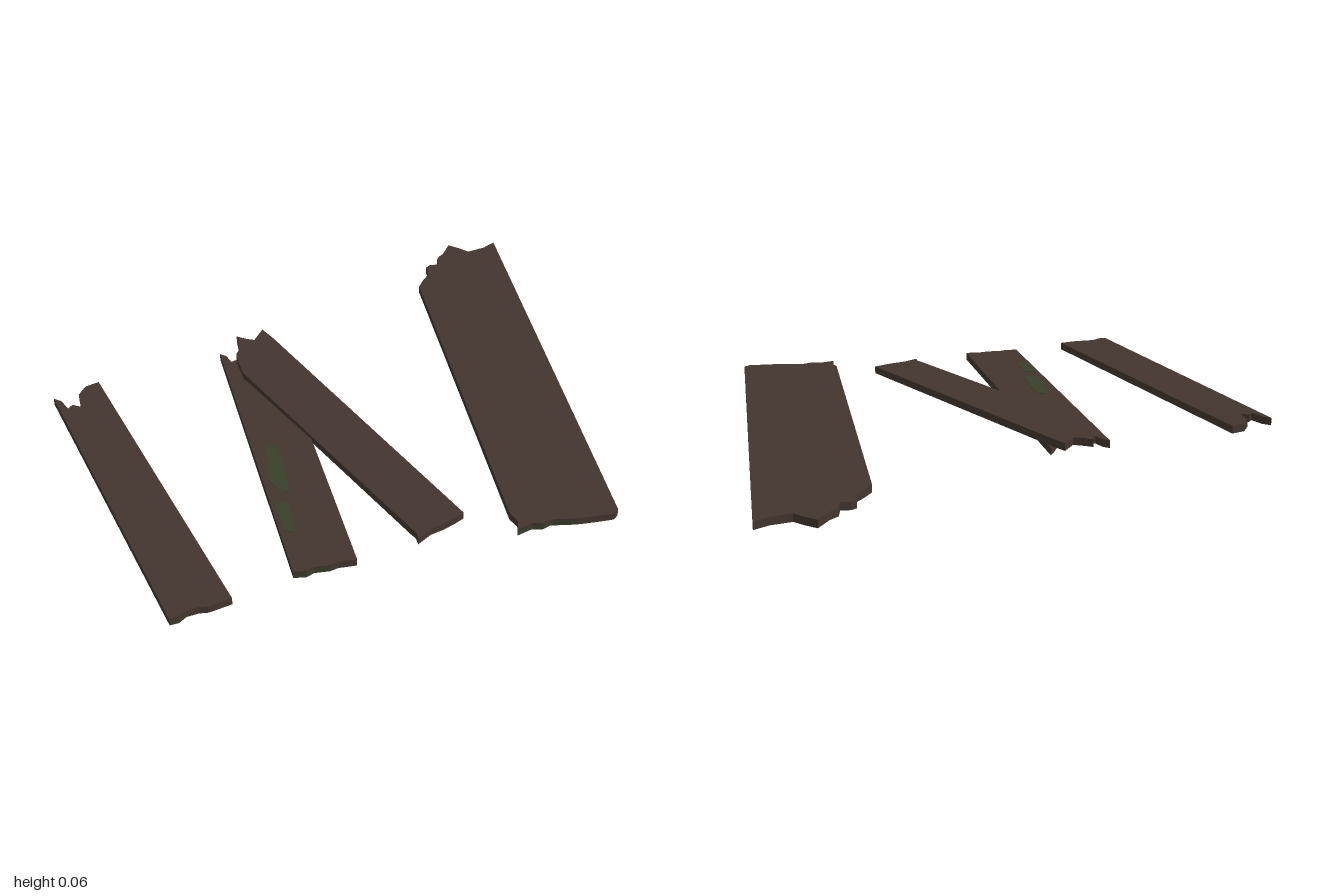
import * as THREE from 'three';

const THICK = 0.027;
const wood = new THREE.MeshStandardMaterial({ color: 0x43352e });
wood.name = 'weathered wood';
const moss = new THREE.MeshStandardMaterial({ color: 0x374029, side: THREE.DoubleSide });
moss.name = 'moss';

// Flat slab from an outline of [x, z] points, optionally raised by a rule lift(z)
function slab(name, points, material, thick, base = 0, lift = () => 0) {
  const shape = new THREE.Shape(points.map(([x, z]) => new THREE.Vector2(x, -z)));
  const geo = new THREE.ExtrudeGeometry(shape, { depth: thick, bevelEnabled: false });
  geo.rotateX(-Math.PI / 2);
  const p = geo.attributes.position;
  for (let i = 0; i < p.count; i++) p.setY(i, p.getY(i) + base + lift(p.getZ(i)));
  geo.computeVertexNormals();
  const mesh = new THREE.Mesh(geo, material);
  mesh.name = name;
  return mesh;
}

// Upright moss skin just in front of a broken end
function endMoss(name, points) {
  const pos = [];
  for (let i = 0; i < points.length - 1; i++) {
    const [ax, az] = points[i], [bx, bz] = points[i + 1];
    const a = [ax, 0.004, az + 0.002], b = [bx, 0.004, bz + 0.002];
    const c = [bx, 0.02, bz + 0.002], d = [ax, 0.02, az + 0.002];
    pos.push(...a, ...b, ...c, ...a, ...c, ...d);
  }
  const geo = new THREE.BufferGeometry();
  geo.setAttribute('position', new THREE.Float32BufferAttribute(pos, 3));
  geo.computeVertexNormals();
  const mesh = new THREE.Mesh(geo, moss);
  mesh.name = name;
  return mesh;
}

export function createModel() {
  const group = new THREE.Group();
  group.name = 'brokenPlanks';

  // Each plank: splintered back end, then jagged front end, both left to right
  const planks = {
    narrowPlank: {
      back: [[-0.985, -0.555], [-0.965, -0.53], [-0.955, -0.475], [-0.935, -0.49], [-0.91, -0.465],
        [-0.895, -0.54], [-0.857, -0.577], [-0.805, -0.583]],
      front: [[-1, 0.7], [-0.97, 0.703], [-0.94, 0.688], [-0.9, 0.69], [-0.87, 0.7], [-0.79, 0.697]],
      moss: [0, 3],
    },
    mossyPlank: {
      back: [[-0.334, -0.556], [-0.318, -0.535], [-0.313, -0.49], [-0.29, -0.495], [-0.26, -0.45],
        [-0.22, -0.49], [-0.18, -0.47], [-0.14, -0.52], [-0.115, -0.545]],
      front: [[-0.57, 0.67], [-0.53, 0.685], [-0.5, 0.678], [-0.45, 0.692], [-0.42, 0.69], [-0.36, 0.705]],
      moss: [0, 4],
    },
    leaningPlank: {
      back: [[-0.313, -0.374], [-0.302, -0.45], [-0.29, -0.497], [-0.27, -0.515], [-0.247, -0.6],
        [-0.217, -0.567], [-0.195, -0.55], [-0.14, -0.6], [-0.125, -0.53]],
      front: [[-0.136, 0.647], [-0.13, 0.67], [-0.136, 0.7], [-0.078, 0.677], [-0.03, 0.673],
        [0.02, 0.663], [0.058, 0.652]],
      lift: (z) => 0.0285 * (0.7 - z) / 1.3,
    },
    widePlank: {
      back: [[0.563, -0.65], [0.6, -0.685], [0.64, -0.716], [0.655, -0.765], [0.677, -0.775],
        [0.71, -0.765], [0.73, -0.81], [0.767, -0.83], [0.82, -0.88], [0.848, -0.84],
        [0.87, -0.8], [0.943, -0.8], [1, -0.818]],
      front: [[0.195, 0.722], [0.2, 0.765], [0.18, 0.803], [0.238, 0.797], [0.27, 0.813],
        [0.302, 0.807], [0.382, 0.84], [0.436, 0.855], [0.51, 0.873], [0.532, 0.86]],
      moss: [2, 7],
    },
  };

  for (const [name, { back, front, lift, moss: range }] of Object.entries(planks)) {
    group.add(slab(name, [...back, ...[...front].reverse()], wood, THICK, 0, lift));
    if (range) group.add(endMoss(name + 'EndMoss', front.slice(range[0], range[1])));
  }

  // Moss patches on the top of the crossing plank
  const patches = [
    [[-0.41, 0.06], [-0.385, 0.04], [-0.365, 0.06], [-0.38, 0.16], [-0.4, 0.22], [-0.42, 0.3],
      [-0.455, 0.285], [-0.462, 0.2], [-0.43, 0.14]],
    [[-0.49, 0.33], [-0.45, 0.35], [-0.468, 0.43], [-0.49, 0.5], [-0.515, 0.48], [-0.505, 0.4]],
  ];
  for (const patch of patches) group.add(slab('mossPatch', patch, moss, 0.0015, THICK));

  return group;
}
